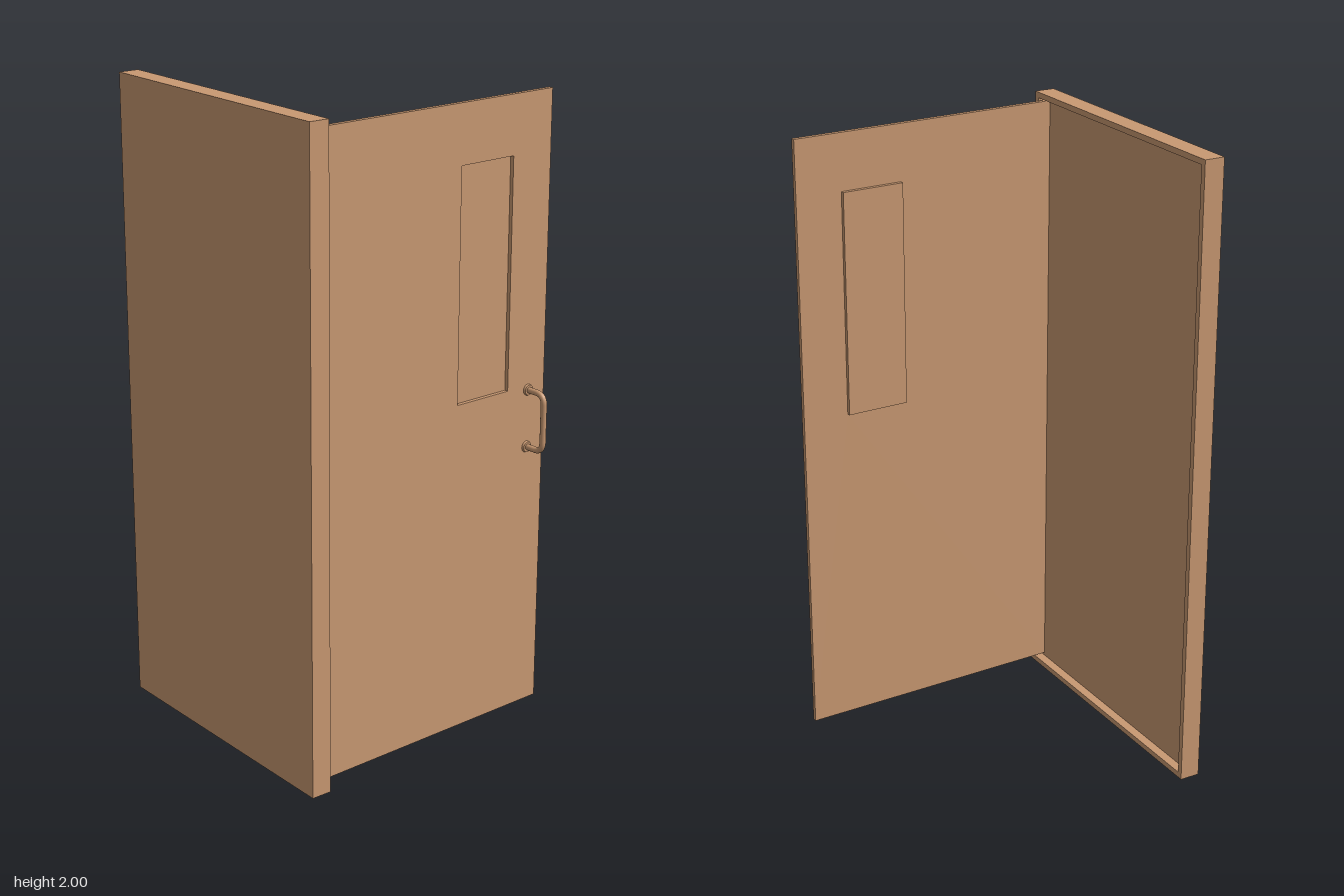
import * as THREE from 'three';

const material = new THREE.MeshStandardMaterial({ color: 0xc99972 });

function mesh(name, geometry, x = 0, y = 0, z = 0) {
  const m = new THREE.Mesh(geometry, material);
  m.name = name;
  m.position.set(x, y, z);
  return m;
}

// Rectangular outline from two corners
function rect(Type, x0, y0, x1, y1) {
  return new Type([[x0, y0], [x1, y0], [x1, y1], [x0, y1]].map(([x, y]) => new THREE.Vector2(x, y)));
}

// Plate with a rectangular opening, extruded along +z
function plate(outer, hole, depth) {
  const shape = rect(THREE.Shape, ...outer);
  shape.holes.push(rect(THREE.Path, ...hole));
  return new THREE.ExtrudeGeometry(shape, { depth, bevelEnabled: false });
}

// Pull handle: round bar bent into a bracket on two flanges
function makeHandle() {
  const g = new THREE.Group();
  g.name = 'handle';
  const h = 0.091, reach = 0.07, bend = 0.032;
  const v = (y, z) => new THREE.Vector3(0, y, z);
  const path = new THREE.CurvePath();
  path.add(new THREE.LineCurve3(v(-h, 0), v(-h, reach - bend)));
  path.add(new THREE.QuadraticBezierCurve3(v(-h, reach - bend), v(-h, reach), v(-h + bend, reach)));
  path.add(new THREE.LineCurve3(v(-h + bend, reach), v(h - bend, reach)));
  path.add(new THREE.QuadraticBezierCurve3(v(h - bend, reach), v(h, reach), v(h, reach - bend)));
  path.add(new THREE.LineCurve3(v(h, reach - bend), v(h, 0)));
  g.add(mesh('handleBar', new THREE.TubeGeometry(path, 64, 0.0095, 16)));
  for (const s of [-1, 1]) {
    const flange = mesh('handleFlange', new THREE.CylinderGeometry(0.016, 0.018, 0.007, 24), 0, s * h, 0.0035);
    flange.rotation.x = Math.PI / 2;
    g.add(flange);
  }
  return g;
}

export function createModel() {
  const model = new THREE.Group();
  model.name = 'doorWithFrame';

  // Side panel with a raised rim around its inner face
  const frame = new THREE.Group();
  frame.name = 'frame';
  frame.add(mesh('framePanel', new THREE.BoxGeometry(0.035, 2, 0.925), -0.4475, 1, -0.0125));
  const rim = mesh('frameRim', plate([-0.45, 0, 0.475, 2], [-0.432, 0.018, 0.457, 1.982], 0.03), -0.43, 0, 0);
  rim.rotation.y = Math.PI / 2;
  frame.add(rim);
  model.add(frame);

  // Door leaf, hinged at the front of the panel and slightly past square
  const door = new THREE.Group();
  door.name = 'door';
  door.position.set(-0.4, 0, 0.4155);
  door.rotation.y = 0.036;
  const t = 0.015;
  const win = [0.508, 1.08, 0.712, 1.795];
  door.add(mesh('doorLeaf', plate([-0.028, 0.03, 0.863, 1.975], win, t), 0, 0, -t / 2));

  // Window pane, set back in its opening
  door.add(mesh('windowPane', new THREE.BoxGeometry(win[2] - win[0], win[3] - win[1], t),
    (win[0] + win[2]) / 2, (win[1] + win[3]) / 2, -0.0125));

  const handle = makeHandle();
  handle.position.set(0.796, 0.976, t / 2);
  door.add(handle);
  model.add(door);

  return model;
}
